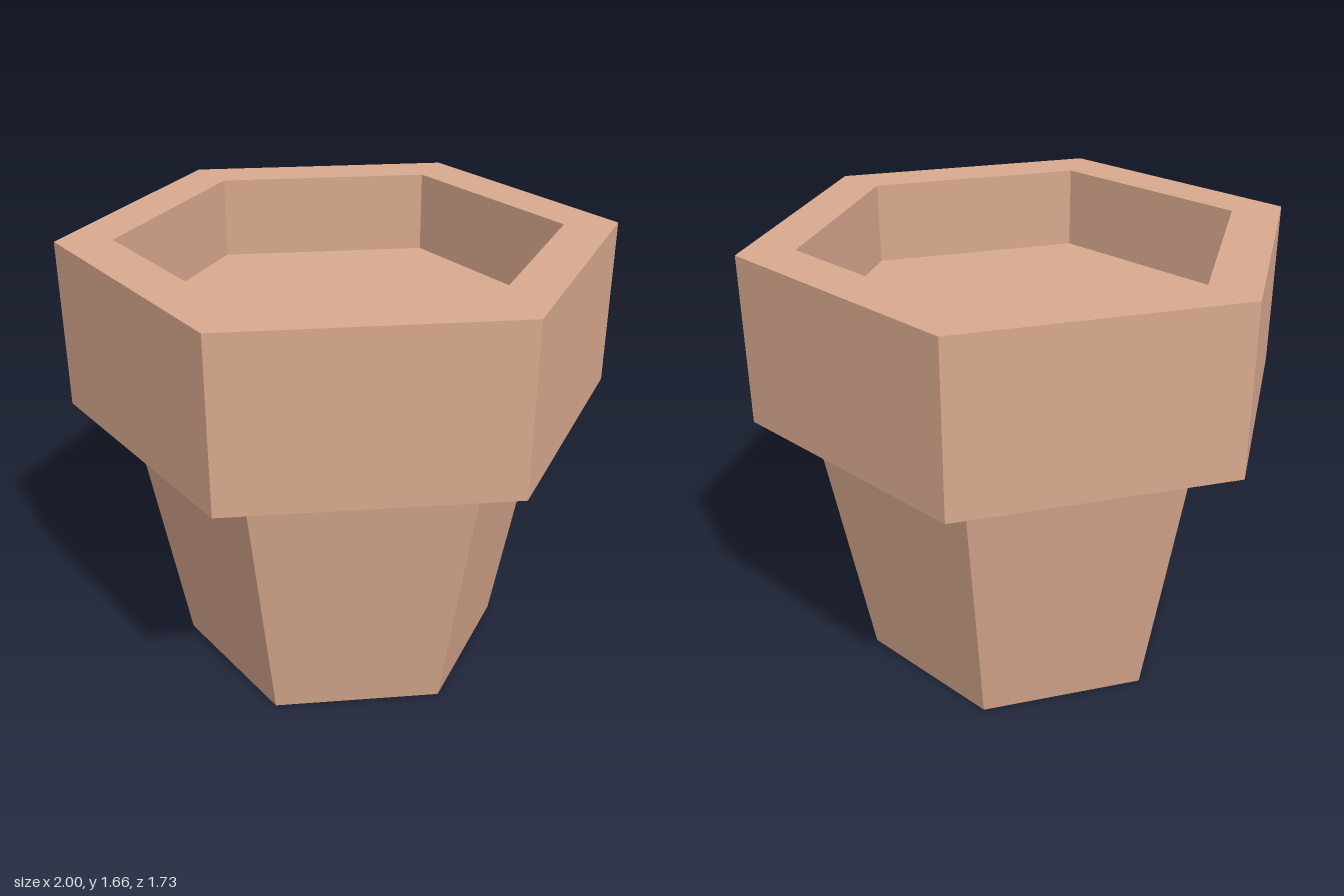
import * as THREE from 'three';

const SIDES = 6;
const TURN = Math.PI / 6; // puts corners on the x axis and flats at front and back

// Hexagonal solid of revolution from [radius, height] points, listed bottom to top
function hexLathe(name, profile, material) {
  const points = profile.map(([r, y]) => new THREE.Vector2(r, y));
  const mesh = new THREE.Mesh(new THREE.LatheGeometry(points, SIDES, TURN), material);
  mesh.name = name;
  return mesh;
}

export function createModel() {
  const group = new THREE.Group();
  group.name = 'flowerPot';

  const clay = new THREE.MeshStandardMaterial({ color: 0xd9a98f, flatShading: true });
  clay.name = 'clay';

  // Tapered body with closed base
  group.add(hexLathe('body', [[0, 0], [0.615, 0], [0.8, 1.04]], clay));

  // Thick collar: underside, outer wall, lip and inner wall
  group.add(hexLathe('rim', [[0.8, 1.04], [1, 1.04], [1, 1.66], [0.8, 1.66], [0.8, 1.35]], clay));

  // Recessed floor inside the collar
  const floor = new THREE.Mesh(new THREE.CircleGeometry(0.8, SIDES), clay);
  floor.name = 'innerFloor';
  floor.rotation.x = -Math.PI / 2;
  floor.position.y = 1.35;
  group.add(floor);

  return group;
}
